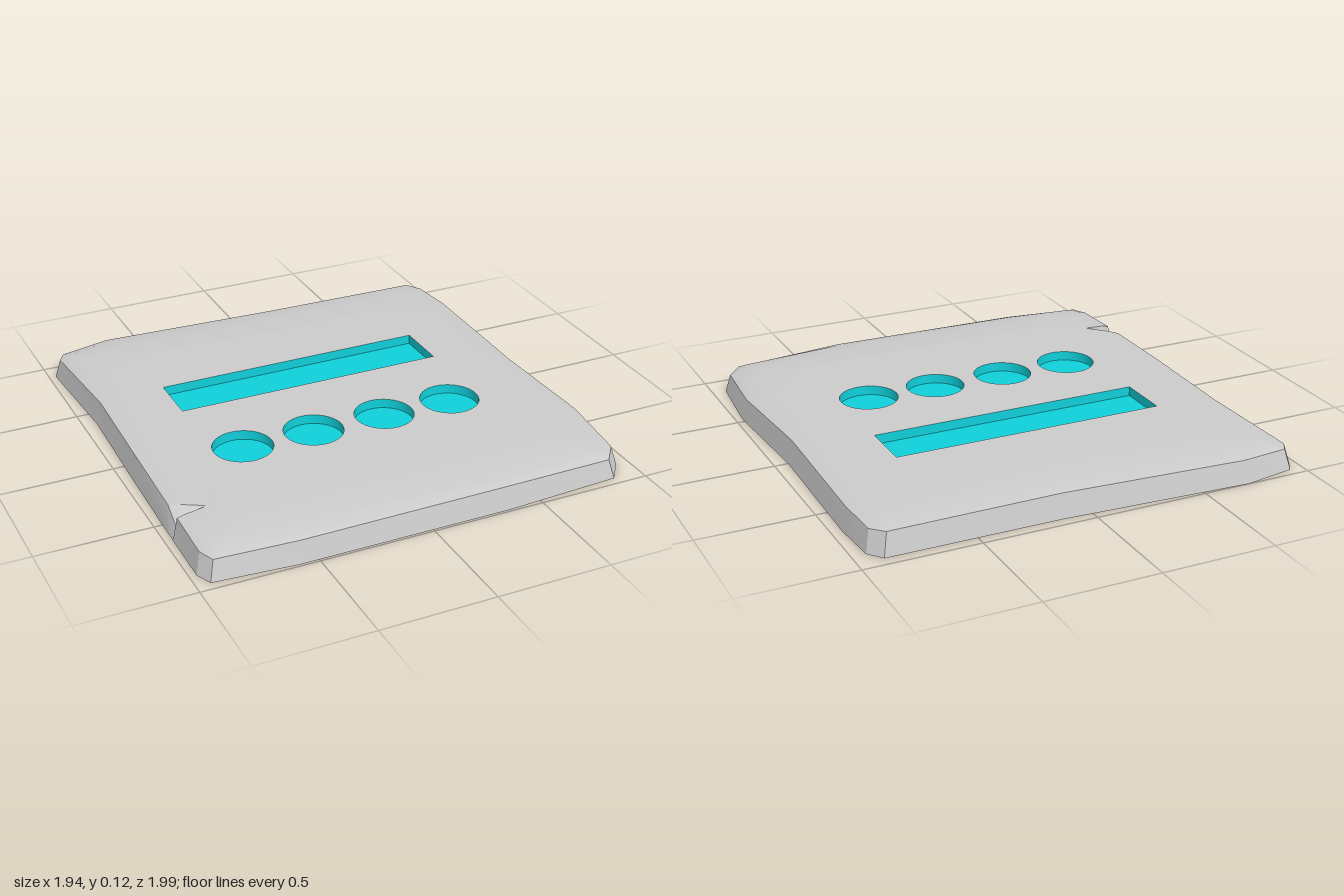
import * as THREE from 'three';
import { toCreasedNormals } from 'three/addons/utils/BufferGeometryUtils.js';

const TOP = 0.122, FLOOR = 0.08, PLATEAU = 0.72;

// Ground outline, clockwise from above: x, z, rim height
const OUTLINE = [
  [-0.97, -0.91, 0.09], [-0.94, -0.96, 0.09], [-0.71, -1.0, 0.1], [0.13, -0.955, 0.105],
  [0.89, -0.952, 0.1], [0.94, -0.89, 0.095], [0.955, -0.68, 0.1], [0.94, 0, 0.105],
  [0.97, 0.53, 0.095], [0.94, 0.87, 0.085], [0.87, 0.96, 0.083], [0.35, 0.99, 0.1],
  [-0.58, 0.99, 0.095], [-0.94, 0.96, 0.088], [-0.97, 0.89, 0.09],
  // chip in the edge: upper lip, foot of the break, start of the slope
  [-0.967, 0.625, 0.1, 0.62], [-0.966, 0.615, 0.045, 0.615], [-0.965, 0.52, 0.1, 0.61],
  [-0.955, 0.1, 0.105], [-0.94, -0.4, 0.105],
];

// Flat faces lying on the ground plane
function flatShape(points, holes, y) {
  const v = (p) => new THREE.Vector2(p[0], -p[1]);
  const shape = new THREE.Shape(points.map(v));
  holes.forEach((h) => shape.holes.push(new THREE.Path(h.map(v))));
  return new THREE.ShapeGeometry(shape).rotateX(-Math.PI / 2).translate(0, y, 0);
}

// Skin between closed rings of [x, y, z]
function loft(rings) {
  const n = rings[0].length, index = [];
  for (let r = 0; r < rings.length - 1; r++) {
    for (let i = 0; i < n; i++) {
      const j = (i + 1) % n, a = r * n, b = a + n;
      index.push(a + i, b + i, b + j, a + i, b + j, a + j);
    }
  }
  const geo = new THREE.BufferGeometry();
  geo.setAttribute('position', new THREE.Float32BufferAttribute(rings.flat(2), 3));
  geo.setIndex(index);
  return geo;
}

function circle(x, z, r, n = 40) {
  return Array.from({ length: n }, (_, i) => {
    const a = (i / n) * Math.PI * 2;
    return [x + r * Math.cos(a), z + r * Math.sin(a)];
  });
}

export function createModel() {
  const group = new THREE.Group();
  const stone = new THREE.MeshStandardMaterial({ color: 0xcccccc });
  const cyan = new THREE.MeshStandardMaterial({ color: 0x10d0da, side: THREE.DoubleSide });
  const add = (name, geo, mat, parent = group) => {
    const mesh = new THREE.Mesh(geo, mat);
    mesh.name = name;
    parent.add(mesh);
  };

  // Recess outlines: one long slot and a row of four round wells
  const slot = [[-0.63, -0.38], [0.6, -0.38], [0.6, -0.14], [-0.63, -0.14]];
  const wells = [-0.51, -0.185, 0.15, 0.47].map((x) => circle(x, 0.25, 0.13));

  // Uneven slab: tapered side, worn rim, gentle rise to the plateau
  const base = OUTLINE.map(([x, z]) => [x, 0, z]);
  const rim = OUTLINE.map(([x, z, h, chip]) => [x * 0.978, h, chip ? z : z * 0.978]);
  const shoulder = OUTLINE.map(([x, z, , chip]) =>
    chip ? [-0.82, 0.115, chip] : [x * 0.86, 0.117, z * 0.86]);
  const worn = rim.map((p, i) => {
    const q = shoulder[i], t = 0.28, k = OUTLINE[i][3] === 0.615 ? t : 0.5;
    return [p[0] + (q[0] - p[0]) * t, p[1] + (q[1] - p[1]) * k, p[2] + (q[2] - p[2]) * t];
  });
  const inner = OUTLINE.map(([x, z]) => [x * PLATEAU, TOP, z * PLATEAU]);
  add('slabSide', toCreasedNormals(loft([base, rim, worn, shoulder, inner]), 0.35), stone);
  add('slabTop', flatShape(inner.map((p) => [p[0], p[2]]), [slot, ...wells], TOP), stone);

  const under = new THREE.Shape(OUTLINE.map(([x, z]) => new THREE.Vector2(x, z)));
  add('slabUnderside', new THREE.ShapeGeometry(under).rotateX(Math.PI / 2), stone);

  // Coloured recesses: wall faces inward, floor faces up
  const recess = (name, pts) => {
    const part = new THREE.Group();
    part.name = name;
    const wall = loft([TOP, FLOOR].map((y) => pts.map(([x, z]) => [x, y, z])));
    add('recessWall', toCreasedNormals(wall, 0.5), cyan, part);
    add('recessFloor', flatShape(pts, [], FLOOR), cyan, part);
    group.add(part);
  };
  recess('slotRecess', slot);
  wells.forEach((w, i) => recess(`roundRecess${i + 1}`, w));

  return group;
}
